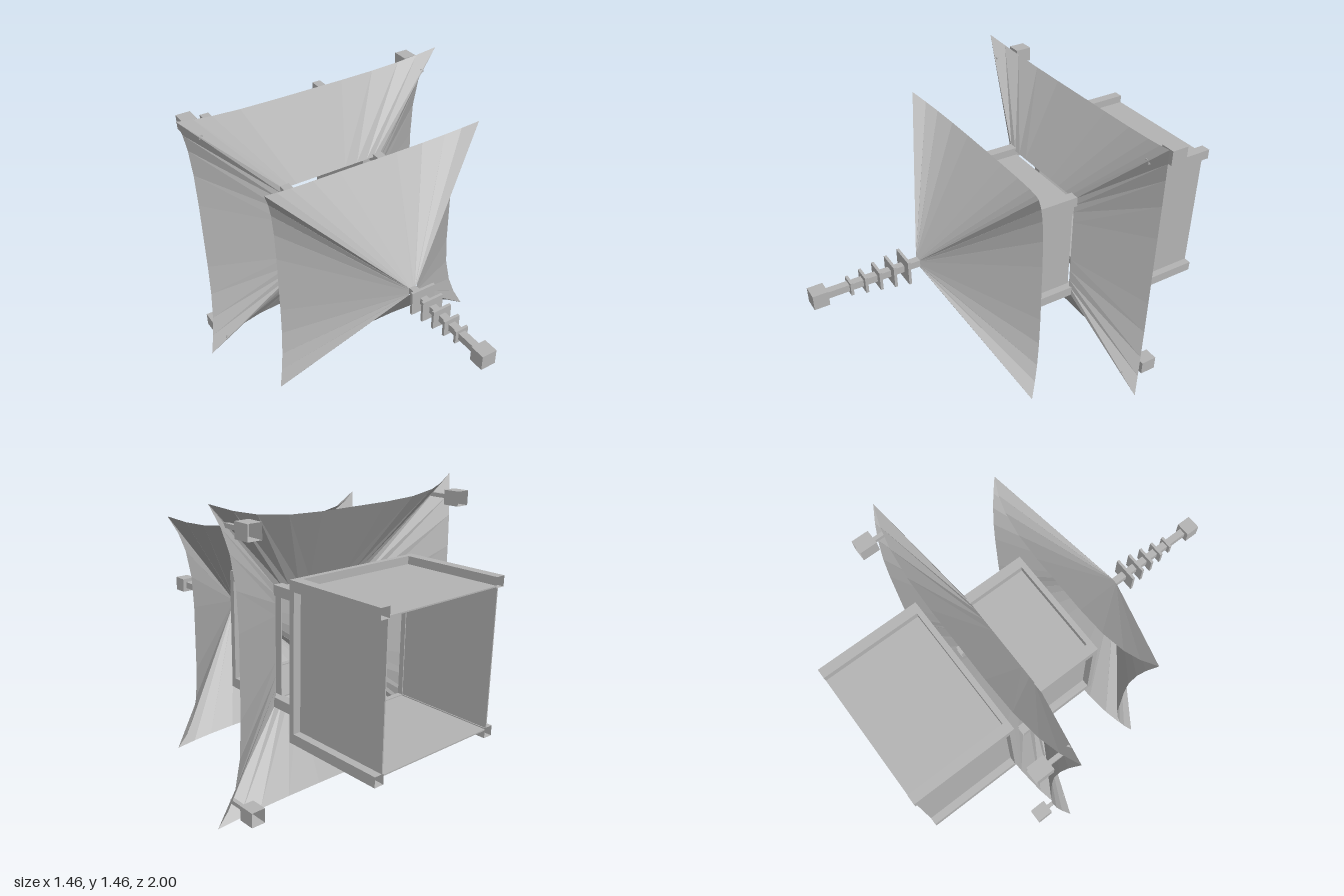
import * as THREE from 'three';

const stone = new THREE.MeshStandardMaterial({ color: 0xb4b4b4, side: THREE.DoubleSide });
stone.name = 'plain grey';

// Box given by its centre, square or rectangular section and z range; the back can be left open
function bar(name, x, y, w, h, zFront, zBack, openBack = false) {
  const g = new THREE.BoxGeometry(w, h, zFront - zBack);
  if (openBack) g.setIndex(Array.from(g.index.array).slice(0, 30));
  g.translate(x, y, (zFront + zBack) / 2);
  const m = new THREE.Mesh(g, stone);
  m.name = name;
  return m;
}

// Four copies of a part, turned about the z axis
function fourTimes(name, make) {
  const group = new THREE.Group();
  group.name = name;
  for (let i = 0; i < 4; i++) {
    const part = make();
    part.rotation.z = i * Math.PI / 2;
    group.add(part);
  }
  return group;
}

// One side of a swept roof: straight from a short ridge to a curved eave
function roofSide({ ridge, ridgeZ, corner, cornerZ, mid, midZ }) {
  const steps = [-1, -0.87, -0.73, -0.52, -0.27, 0.27, 0.52, 0.73, 0.87, 1];
  const inner = [], outer = [];
  for (const t of steps) {
    const k = t ** 4;
    inner.push([ridge * t, ridge, ridgeZ]);
    outer.push([corner * t, mid + (corner - mid) * k, midZ + (cornerZ - midZ) * k]);
  }
  const pos = [];
  for (let i = 0; i < steps.length - 1; i++) {
    pos.push(...inner[i], ...inner[i + 1], ...outer[i + 1]);
    pos.push(...inner[i], ...outer[i + 1], ...outer[i]);
  }
  // Wind every face towards the outside (+y, +z)
  for (let i = 0; i < pos.length; i += 9) {
    const p = [0, 3, 6].map(o => new THREE.Vector3().fromArray(pos, i + o));
    const n = p[1].clone().sub(p[0]).cross(p[2].clone().sub(p[0]));
    if (n.y + n.z < 0) {
      p[2].toArray(pos, i + 3);
      p[1].toArray(pos, i + 6);
    }
  }
  const g = new THREE.BufferGeometry();
  g.setAttribute('position', new THREE.Float32BufferAttribute(pos, 3));
  g.computeVertexNormals();
  const m = new THREE.Mesh(g, stone);
  m.name = 'roofSide';
  return m;
}

// Hollow storey: corner posts, lintels and recessed walls
function storey(name, half, zFront, wallBack, postBack) {
  const group = new THREE.Group();
  group.name = name;
  const w = 0.05, c = half - w / 2;
  group.add(fourTimes('posts', () => bar('post', c, c, w, w, zFront, postBack, true)));
  group.add(fourTimes('lintels', () => bar('lintel', 0, c, 2 * (half - w), w, zFront, zFront - 0.027)));
  group.add(fourTimes('walls', () =>
    bar('wall', 0, half - 0.042, 2 * (half - w), 0.006, zFront - 0.02, wallBack)));
  return group;
}

export function createModel() {
  const model = new THREE.Group();
  model.name = 'tower';

  // Roofs
  model.add(fourTimes('upperRoof', () => roofSide(
    { ridge: 0.022, ridgeZ: 0.455, corner: 0.585, cornerZ: 0.16, mid: 0.512, midZ: 0.078 })));
  model.add(fourTimes('lowerRoof', () => roofSide(
    { ridge: 0.285, ridgeZ: -0.25, corner: 0.728, cornerZ: -0.385, mid: 0.65, midZ: -0.466 })));

  // Storeys
  model.add(storey('upperStorey', 0.3, 0.08, -0.26, -0.37));
  model.add(storey('lowerStorey', 0.38, -0.465, -1, -1));

  // Spire with square rings and an end block
  const spire = new THREE.Group();
  spire.name = 'spire';
  spire.add(bar('spireRod', 0, 0, 0.036, 0.036, 0.93, 0.44));
  spire.add(bar('spireTip', 0, 0, 0.076, 0.076, 1, 0.925));
  [0.034, 0.042, 0.049, 0.056, 0.064].forEach((r, i) => {
    const z = 0.81 - i * 0.07;
    spire.add(bar('spireRing', 0, 0, 2 * r, 2 * r, z + 0.007, z - 0.007));
  });
  model.add(spire);

  // Bells hung under the lower roof corners
  model.add(fourTimes('bells', () => {
    const bell = new THREE.Group();
    bell.name = 'bell';
    bell.add(bar('bellRod', 0.63, 0.63, 0.02, 0.02, -0.36, -0.475));
    bell.add(bar('bellBody', 0.63, 0.63, 0.072, 0.072, -0.47, -0.555, true));
    return bell;
  }));

  model.position.y = 0.73;
  const root = new THREE.Group();
  root.add(model);
  return root;
}
